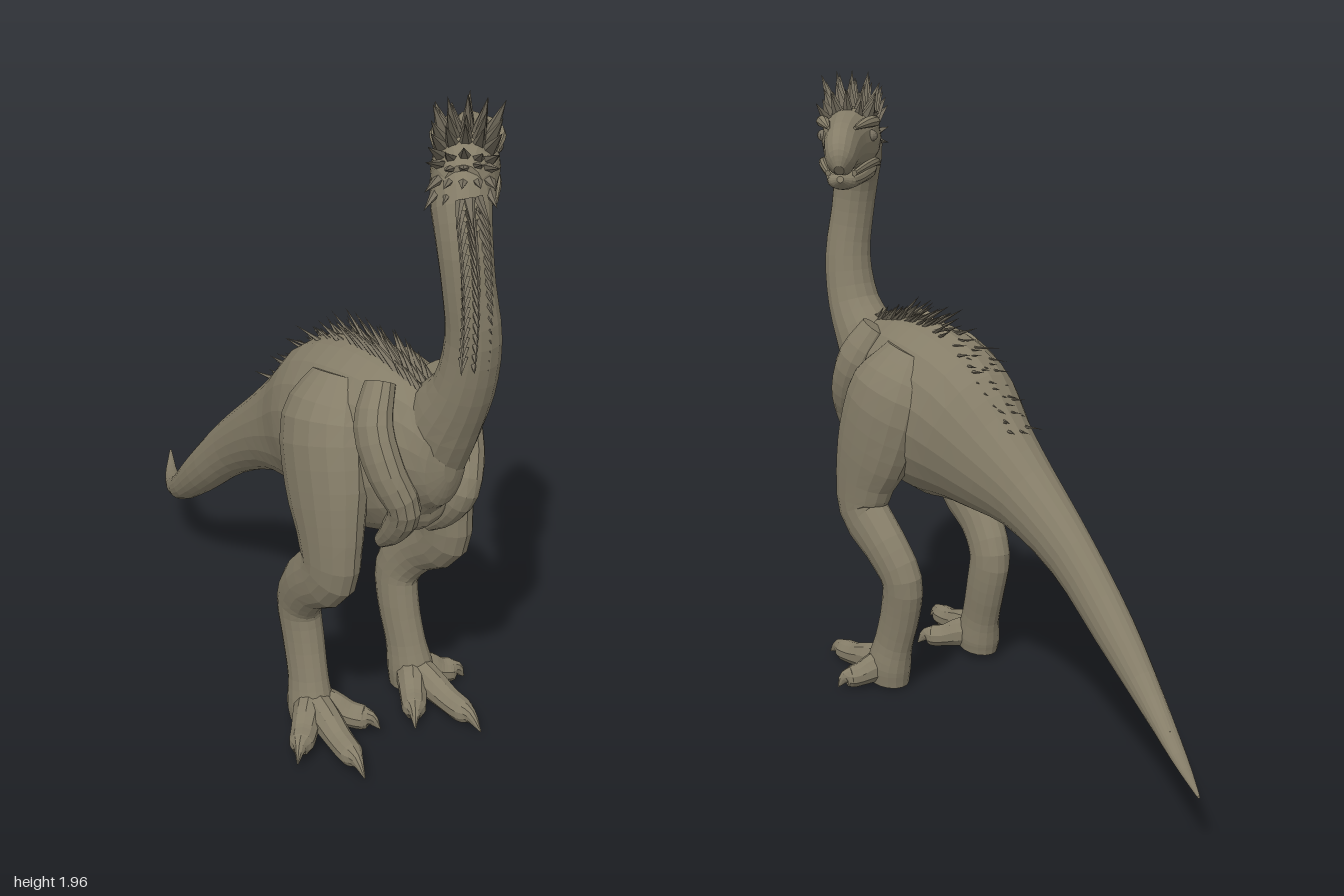
import * as THREE from 'three';

const hide = new THREE.MeshStandardMaterial({ color: 0x857d68, flatShading: true });
const plume = new THREE.MeshStandardMaterial({ color: 0x777060, flatShading: true });
const V = (x, y, z) => new THREE.Vector3(x, y, z);
const X = V(1, 0, 0), Y = V(0, 1, 0);

// small seeded generator for feather variation
let seed = 7;
const rnd = () => (seed = (seed * 16807) % 2147483647) / 2147483647;
const vary = (a) => (rnd() - 0.5) * 2 * a;

// tube of elliptical rings; each row is x, y, z, half size along ref, half size across it
function loft(name, rows, { sides = 16, steps = 3, ref = X } = {}) {
  const path = new THREE.CatmullRomCurve3(rows.map((r) => V(r[0], r[1], r[2])));
  const size = new THREE.CatmullRomCurve3(rows.map((r) => V(r[3], r[4], 0)), false, 'catmullrom');
  const n = (rows.length - 1) * steps, pos = [], idx = [];
  for (let i = 0; i <= n; i++) {
    const c = path.getPoint(i / n), r = size.getPoint(i / n), T = path.getTangent(i / n);
    const S = ref.clone().addScaledVector(T, -ref.dot(T)).normalize();
    const B = T.clone().cross(S);
    for (let j = 0; j < sides; j++) {
      const a = (j / sides) * Math.PI * 2;
      const p = c.clone().addScaledVector(S, Math.max(r.x, 0.002) * Math.cos(a))
        .addScaledVector(B, Math.max(r.y, 0.002) * Math.sin(a));
      pos.push(p.x, p.y, p.z);
      if (i < n) {
        const k = (j + 1) % sides, A = i * sides, D = A + sides;
        idx.push(A + j, A + k, D + k, A + j, D + k, D + j);
      }
    }
  }
  // end caps
  const first = pos.length / 3;
  for (const t of [0, 1]) pos.push(...path.getPoint(t).toArray());
  for (let j = 0; j < sides; j++) {
    const k = (j + 1) % sides, L = n * sides;
    idx.push(first, k, j, first + 1, L + j, L + k);
  }
  const g = new THREE.BufferGeometry();
  g.setAttribute('position', new THREE.Float32BufferAttribute(pos, 3));
  g.setIndex(idx);
  g.computeVertexNormals();
  const m = new THREE.Mesh(g, hide);
  m.name = name;
  return m;
}

// flattened pointed feather
const featherGeo = new THREE.ConeGeometry(1, 1, 5, 1).translate(0, 0.45, 0);
function feather(group, base, dir, length, width) {
  const m = new THREE.Mesh(featherGeo, plume);
  m.name = 'feather';
  m.position.copy(base);
  m.quaternion.setFromUnitVectors(Y, dir.normalize());
  m.scale.set(width, length, width * 0.6);
  group.add(m);
}

function named(name) {
  const g = new THREE.Group();
  g.name = name;
  return g;
}

function makeHead() {
  const head = named('head');
  head.add(
    loft('skull', [[0, 0.03, -0.03, 0.05, 0.06], [0, 0.03, 0.02, 0.08, 0.1], [0, 0.035, 0.11, 0.09, 0.105],
      [0, 0.04, 0.2, 0.085, 0.1], [0, 0.045, 0.29, 0.066, 0.085], [0, 0.035, 0.37, 0.055, 0.075],
      [0, 0.005, 0.42, 0.042, 0.055], [0, -0.015, 0.445, 0.015, 0.02]]),
    loft('lowerJaw', [[0, -0.03, 0.03, 0.06, 0.05], [0, -0.055, 0.12, 0.078, 0.05], [0, -0.06, 0.22, 0.07, 0.036],
      [0, -0.06, 0.32, 0.055, 0.03], [0, -0.055, 0.39, 0.042, 0.026], [0, -0.045, 0.425, 0.01, 0.01]]));
  for (const s of [-1, 1]) {
    head.add(
      loft('browRidge', [[s * 0.075, 0.085, 0.12, 0.01, 0.01], [s * 0.08, 0.1, 0.2, 0.02, 0.018],
        [s * 0.062, 0.105, 0.28, 0.018, 0.016], [s * 0.04, 0.1, 0.36, 0.005, 0.005]], { sides: 8 }),
      loft('lip', [[s * 0.082, -0.045, 0.1, 0.006, 0.01], [s * 0.082, -0.025, 0.2, 0.012, 0.014],
        [s * 0.064, -0.022, 0.31, 0.012, 0.014], [s * 0.04, -0.03, 0.4, 0.008, 0.01]], { sides: 8 }));
    const eye = new THREE.Mesh(new THREE.SphereGeometry(0.018, 10, 8), plume);
    eye.name = 'eye';
    eye.position.set(s * 0.076, 0.06, 0.23);
    head.add(eye);
  }
  // crest fans from the brow over the back of the skull
  const crest = named('crest');
  for (let row = -2; row <= 2; row++) {
    for (let i = 0; i < 10; i++) {
      const a = THREE.MathUtils.degToRad(48 + i * 16 + vary(5));
      const c = Math.cos(a), s = Math.sin(a);
      const len = (i < 3 ? 0.1 : 0.14) - Math.abs(row) * 0.016 + vary(0.02);
      feather(crest, V(row * 0.03, 0.04 + 0.09 * s, 0.12 + 0.12 * c), V(row * 0.18, s, c - 0.25), len, 0.022);
    }
  }
  head.add(crest);
  head.position.set(0.02, 1.72, 0.83);
  head.rotation.y = 2.42;
  return head;
}

// toes lists the tip of each toe as x, z
function makeLeg(name, s, toes, lift) {
  const leg = named(name);
  leg.add(loft('thighAndShin', [[0.1, 1.12, 0.46, 0.05, 0.09], [0.15, 1.0, 0.48, 0.1, 0.16],
    [0.18, 0.82, 0.535, 0.092, 0.16], [0.195, 0.69, 0.575, 0.075, 0.125], [0.2, 0.59, 0.58, 0.066, 0.105],
    [0.195, 0.49, 0.47, 0.062, 0.085], [0.18, 0.39, 0.405, 0.058, 0.08], [0.175, 0.28, 0.42, 0.056, 0.075],
    [0.18, 0.16, 0.455, 0.055, 0.072], [0.185, 0.08, 0.475, 0.065, 0.08],
    [0.185, 0.02 + lift, 0.48, 0.06, 0.075]].map(([x, ...r]) => [s * x, ...r])));
  for (const [tx, tz] of toes) {
    const at = (t, y, w, h) => [THREE.MathUtils.lerp(s * 0.185, tx, t), y + lift, THREE.MathUtils.lerp(0.48, tz, t), w, h];
    leg.add(loft('toe', [at(0, 0.075, 0.06, 0.05), at(0.3, 0.065, 0.05, 0.045), at(0.55, 0.05, 0.038, 0.04),
      at(0.75, 0.045, 0.036, 0.036), at(0.86, 0.045, 0.024, 0.018), at(1, 0.015, 0.002, 0.002)], { sides: 10, ref: Y }));
  }
  return leg;
}

export function createModel() {
  const model = named('featheredDinosaur');
  model.add(
    loft('torsoAndTail', [[0, 0.96, 0.85, 0.02, 0.04], [0, 0.96, 0.83, 0.07, 0.12], [0, 0.965, 0.76, 0.12, 0.2],
      [0, 0.945, 0.64, 0.175, 0.25], [0, 0.92, 0.48, 0.205, 0.275], [0, 0.885, 0.32, 0.19, 0.26],
      [0, 0.815, 0.16, 0.14, 0.19], [-0.01, 0.735, 0, 0.1, 0.125], [-0.015, 0.6, -0.2, 0.07, 0.09],
      [-0.01, 0.425, -0.4, 0.06, 0.07], [0.02, 0.27, -0.6, 0.04, 0.042], [0.105, 0.205, -0.8, 0.024, 0.018],
      [0.21, 0.195, -0.985, 0.004, 0.004]], { sides: 20 }),
    loft('neck', [[0.02, 0.93, 0.71, 0.1, 0.12], [0.025, 1.08, 0.785, 0.1, 0.11], [0.03, 1.2, 0.855, 0.086, 0.082],
      [0.025, 1.35, 0.89, 0.075, 0.075], [0.005, 1.5, 0.885, 0.07, 0.07], [0, 1.62, 0.865, 0.072, 0.075],
      [0.02, 1.72, 0.82, 0.075, 0.085], [0.06, 1.77, 0.77, 0.06, 0.07]]),
    makeHead(),
    makeLeg('leftLeg', 1, [[0.345, 0.54], [0.2, 0.8], [0.05, 0.68]], 0),
    makeLeg('rightLeg', -1, [[-0.35, 0.65], [-0.23, 0.81], [-0.05, 0.64]], 0.015));

  // folded arms against the chest
  for (const s of [-1, 1]) {
    model.add(loft('foldedArm', [[s * 0.09, 1.16, 0.65, 0.04, 0.05], [s * 0.14, 1.06, 0.69, 0.05, 0.065],
      [s * 0.135, 0.94, 0.75, 0.05, 0.06], [s * 0.1, 0.84, 0.785, 0.045, 0.05],
      [s * 0.09, 0.75, 0.73, 0.035, 0.04], [s * 0.085, 0.68, 0.66, 0.015, 0.02]], { sides: 12 }));
  }

  // mane down the back of the neck
  const mane = named('neckMane');
  for (let i = 0; i < 16; i++) {
    const t = i / 15;
    for (const k of [-1, 0, 1]) {
      feather(mane, V(-0.03 + k * 0.03 + t * 0.02, 1.74 - t * 0.42, 0.915 + 0.025 * Math.sin(t * 2.5)),
        V(-0.25 + k * 0.3, -0.75, 0.55), 0.085 - t * 0.035, 0.016);
    }
  }
  model.add(mane);

  // feathers along the spine, long over the hips and short on the tail
  const ridge = named('spineFeathers');
  const spine = new THREE.CatmullRomCurve3([[0, 1.15, 0.8], [0, 1.185, 0.6], [0, 1.15, 0.4], [0, 1.02, 0.2],
    [-0.01, 0.86, 0], [-0.015, 0.705, -0.2], [-0.01, 0.505, -0.4], [0.02, 0.315, -0.6],
    [0.105, 0.22, -0.8]].map((p) => V(...p)));
  for (let i = 0; i < 60; i++) {
    const t = i / 60, p = spine.getPoint(t), T = spine.getTangent(t);
    const long = t < 0.44 ? 0.06 + 0.11 * Math.sin(Math.min(1, t / 0.4) * Math.PI * 0.85) : 0.035 * (1.3 - t);
    for (const k of t < 0.5 ? [-1, 0, 1] : [0]) {
      const dir = T.clone().add(V(k * 0.15 + vary(0.1), 0.6 + vary(0.15), 0));
      feather(ridge, V(p.x + k * 0.022, p.y - 0.01, p.z), dir, long * (1 + vary(0.2)), t < 0.44 ? 0.017 : 0.012);
    }
  }
  model.add(ridge);
  return model;
}
